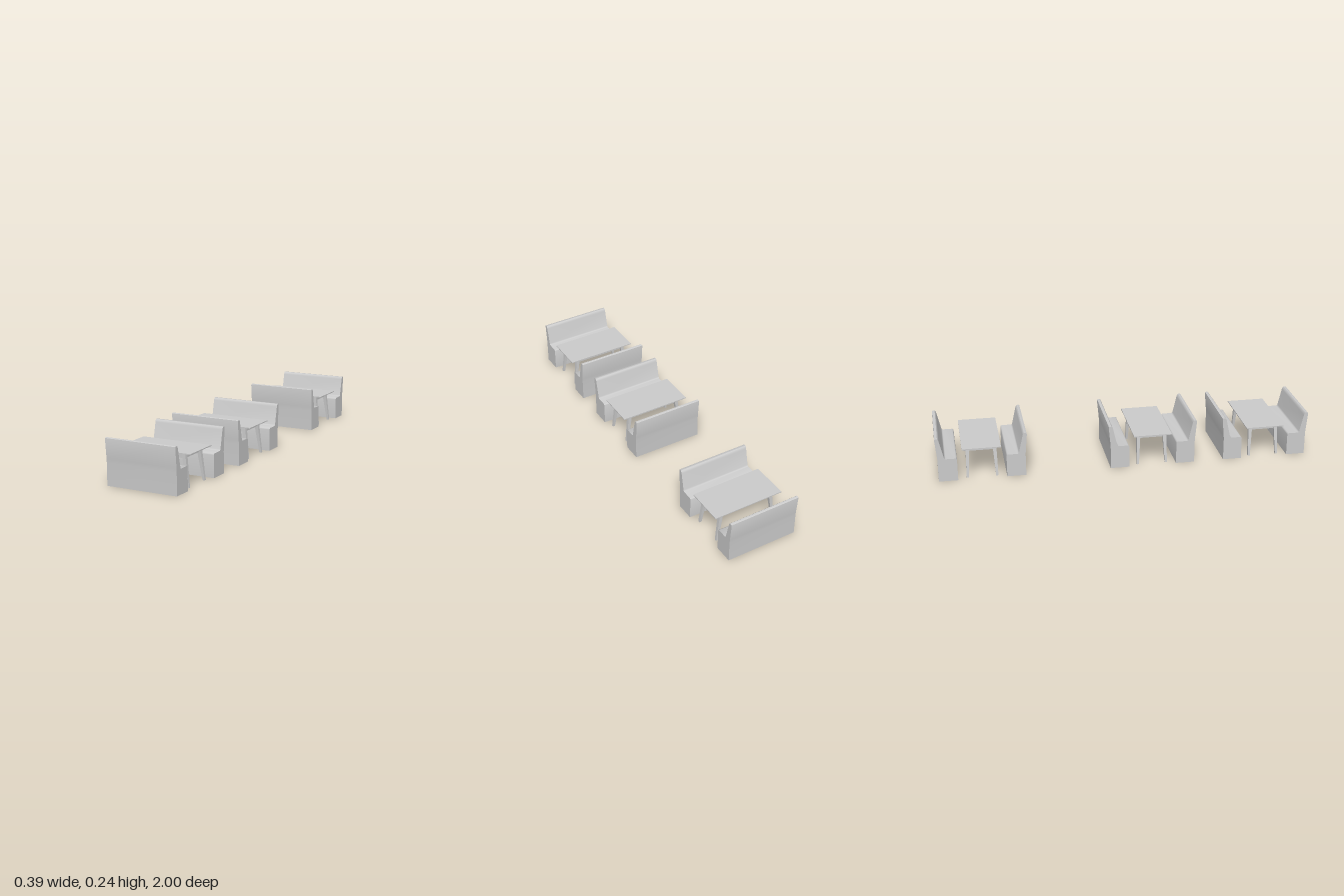
import * as THREE from 'three';
import { toCreasedNormals } from 'three/addons/utils/BufferGeometryUtils.js';

const material = new THREE.MeshStandardMaterial({ color: 0xcccccc, side: THREE.DoubleSide });
const WIDTH = 0.388;

function add(parent, geometry, name) {
  const mesh = new THREE.Mesh(geometry, material);
  mesh.name = name;
  parent.add(mesh);
  return mesh;
}

// Bench shell: side profile (distance from booth centre, height) swept across x, open underneath
function benchGeometry() {
  const profile = [
    [0.128, 0], [0.128, 0.117], [0.13, 0.122], [0.135, 0.125],
    [0.186, 0.125], [0.191, 0.127], [0.194, 0.133],
    [0.215, 0.226], [0.218, 0.235], [0.223, 0.24],
    [0.233, 0.24], [0.237, 0.238], [0.238, 0.233],
    [0.229, 0.135], [0.228, 0.115], [0.228, 0],
  ];
  const shape = new THREE.Shape(profile.map(([d, y]) => new THREE.Vector2(-d, y)));
  const solid = new THREE.ExtrudeGeometry(shape, { depth: WIDTH, bevelEnabled: false });
  solid.translate(0, 0, -WIDTH / 2).rotateY(Math.PI / 2); // seat back towards +z

  // Drop the floor triangles
  const p = solid.attributes.position;
  const kept = [];
  for (let i = 0; i < p.count; i += 3) {
    if (Math.max(p.getY(i), p.getY(i + 1), p.getY(i + 2)) < 1e-5) continue;
    for (let k = i; k < i + 3; k++) kept.push(p.getX(k), p.getY(k), p.getZ(k));
  }
  const shell = new THREE.BufferGeometry();
  shell.setAttribute('position', new THREE.Float32BufferAttribute(kept, 3));
  return toCreasedNormals(shell, 0.75);
}

// Tapered leg splayed along x; sx, sz choose the corner
function legGeometry(sx, sz) {
  const g = new THREE.BoxGeometry(1, 1, 1);
  const p = g.attributes.position;
  for (let i = 0; i < p.count; i++) {
    const top = p.getY(i) > 0;
    const size = top ? 0.02 : 0.012;
    p.setXYZ(i,
      sx * (top ? 0.143 : 0.167) + p.getX(i) * size,
      top ? 0.17 : 0,
      sz * (top ? 0.07 : 0.077) + p.getZ(i) * size);
  }
  g.computeVertexNormals();
  return g;
}

function createTable() {
  const table = new THREE.Group();
  table.name = 'table';
  add(table, new THREE.BoxGeometry(WIDTH, 0.005, 0.204), 'tableTop').position.y = 0.1715;
  // Apron rails between the legs
  for (const s of [-1, 1]) {
    add(table, new THREE.BoxGeometry(0.28, 0.028, 0.008), 'longApron').position.set(0, 0.156, s * 0.07);
    add(table, new THREE.BoxGeometry(0.008, 0.028, 0.14), 'shortApron').position.set(s * 0.143, 0.156, 0);
    for (const sz of [-1, 1]) add(table, legGeometry(s, sz), 'tableLeg');
  }
  return table;
}

export function createModel() {
  const model = new THREE.Group();
  model.name = 'diningBooths';
  const bench = benchGeometry();

  // Three booths in a row, each a table between two facing benches
  for (const z of [0.762, 0.145, -0.762]) {
    const booth = new THREE.Group();
    booth.name = 'booth';
    booth.position.z = z;
    add(booth, bench, 'frontBench');
    add(booth, bench, 'backBench').rotation.y = Math.PI;
    booth.add(createTable());
    model.add(booth);
  }
  return model;
}
